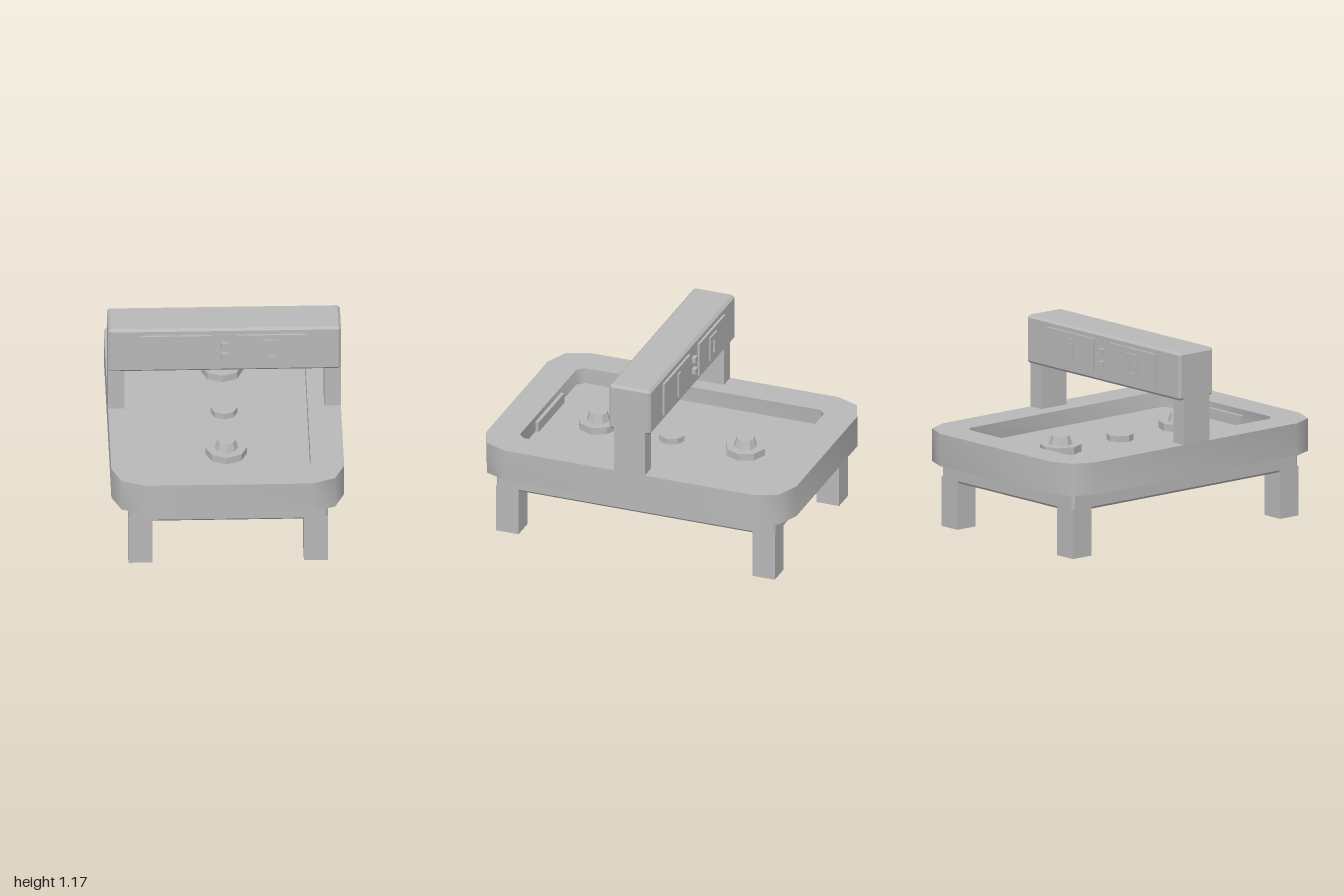
import * as THREE from 'three';
import { toCreasedNormals } from 'three/addons/utils/BufferGeometryUtils.js';
import { ConvexGeometry } from 'three/addons/geometries/ConvexGeometry.js';

const grey = new THREE.MeshStandardMaterial({ color: 0xb8b8b8 });
grey.name = 'grey';

function add(parent, name, geometry, x = 0, y = 0, z = 0) {
  const mesh = new THREE.Mesh(geometry, grey);
  mesh.name = name;
  mesh.position.set(x, y, z);
  parent.add(mesh);
  return mesh;
}

// Box given by its lower and upper limits
function block(parent, name, [x0, x1], [y0, y1], [z0, z1]) {
  const geo = new THREE.BoxGeometry(x1 - x0, y1 - y0, z1 - z0);
  return add(parent, name, geo, (x0 + x1) / 2, (y0 + y1) / 2, (z0 + z1) / 2);
}

// Centred box with all edges cut by c
function chamferBox(w, h, d, c) {
  const points = [];
  for (const sx of [-1, 1]) for (const sy of [-1, 1]) for (const sz of [-1, 1]) {
    const x = w / 2, y = h / 2, z = d / 2;
    points.push(new THREE.Vector3(sx * x, sy * (y - c), sz * (z - c)));
    points.push(new THREE.Vector3(sx * (x - c), sy * y, sz * (z - c)));
    points.push(new THREE.Vector3(sx * (x - c), sy * (y - c), sz * z));
  }
  return new ConvexGeometry(points);
}

// Rectangle outline with corners made of a few straight segments
function roundedOutline(hx, hz, r, segments) {
  const points = [];
  const corners = [[1, 1], [-1, 1], [-1, -1], [1, -1]];
  corners.forEach(([sx, sz], i) => {
    for (let k = 0; k <= segments; k++) {
      const a = (i + k / segments) * Math.PI / 2;
      points.push(new THREE.Vector2(sx * (hx - r) + r * Math.cos(a), sz * (hz - r) + r * Math.sin(a)));
    }
  });
  return points;
}

function facetedCylinder(top, bottom, height) {
  return toCreasedNormals(new THREE.CylinderGeometry(top, bottom, height, 8), 0.3);
}

// One face of the scoreboard, built facing +z
function displayFace() {
  const face = new THREE.Group();
  face.name = 'scoreFace';
  block(face, 'leftPanel', [-0.5, -0.075], [0.92, 1.13], [0.13, 0.15]);
  block(face, 'rightPanel', [0.072, 0.497], [0.92, 1.13], [0.13, 0.15]);
  block(face, 'barMark', [-0.288, -0.252], [0.947, 1.1], [0.145, 0.16]);
  for (const y of [0.987, 1.063]) block(face, 'dot', [-0.018, 0.018], [y - 0.018, y + 0.018], [0.13, 0.16]);
  // Ring-shaped mark
  const ring = new THREE.Shape(roundedOutline(0.054, 0.077, 0, 1).filter((p, i) => i % 2 === 0));
  ring.holes.push(new THREE.Path(roundedOutline(0.018, 0.04, 0, 1).filter((p, i) => i % 2 === 0)));
  add(face, 'ringMark', new THREE.ExtrudeGeometry(ring, { depth: 0.015, bevelEnabled: false }), 0.283, 1.023, 0.145);
  return face;
}

export function createModel() {
  const model = new THREE.Group();
  model.name = 'hockeyTable';

  // Thick rim around the sunken playing surface
  const outline = new THREE.Shape(roundedOutline(0.7, 1, 0.2, 2));
  outline.holes.push(new THREE.Path(roundedOutline(0.5, 0.8, 0.04, 1)));
  const rim = new THREE.ExtrudeGeometry(outline, { depth: 0.2, bevelEnabled: false });
  rim.rotateX(-Math.PI / 2);
  add(model, 'rim', toCreasedNormals(rim, 0.9), 0, 0.4, 0);
  block(model, 'playingSurface', [-0.51, 0.51], [0.42, 0.5], [-0.81, 0.81]);

  // Base slab and legs
  add(model, 'baseSlab', chamferBox(1.2, 0.115, 1.8, 0.015), 0, 0.3425, 0);
  for (const sx of [-1, 1]) for (const sz of [-1, 1]) {
    add(model, 'leg', new THREE.BoxGeometry(0.145, 0.305, 0.145), sx * 0.5275, 0.1525, sz * 0.8275);
  }

  // Goals and mallets at both ends, puck in the middle
  for (const s of [-1, 1]) {
    add(model, 'goal', new THREE.BoxGeometry(0.42, 0.07, 0.03), 0, 0.53, s * 0.793);
    const mallet = new THREE.Group();
    mallet.name = 'mallet';
    mallet.position.set(0, 0.5, s * 0.475);
    add(mallet, 'malletBase', facetedCylinder(0.125, 0.125, 0.05), 0, 0.02, 0);
    add(mallet, 'malletKnob', facetedCylinder(0.055, 0.073, 0.057), 0, 0.07, 0);
    model.add(mallet);
  }
  add(model, 'puck', facetedCylinder(0.08, 0.08, 0.04), 0, 0.517, 0);

  // Scoreboard bridge
  for (const s of [-1, 1]) {
    add(model, 'post', new THREE.BoxGeometry(0.1, 0.31, 0.2), s * 0.65, 0.745, 0);
  }
  add(model, 'scoreboard', chamferBox(1.4, 0.295, 0.27, 0.015), 0, 1.0225, 0);
  const front = displayFace();
  const back = displayFace();
  back.rotation.y = Math.PI;
  model.add(front, back);

  return model;
}
